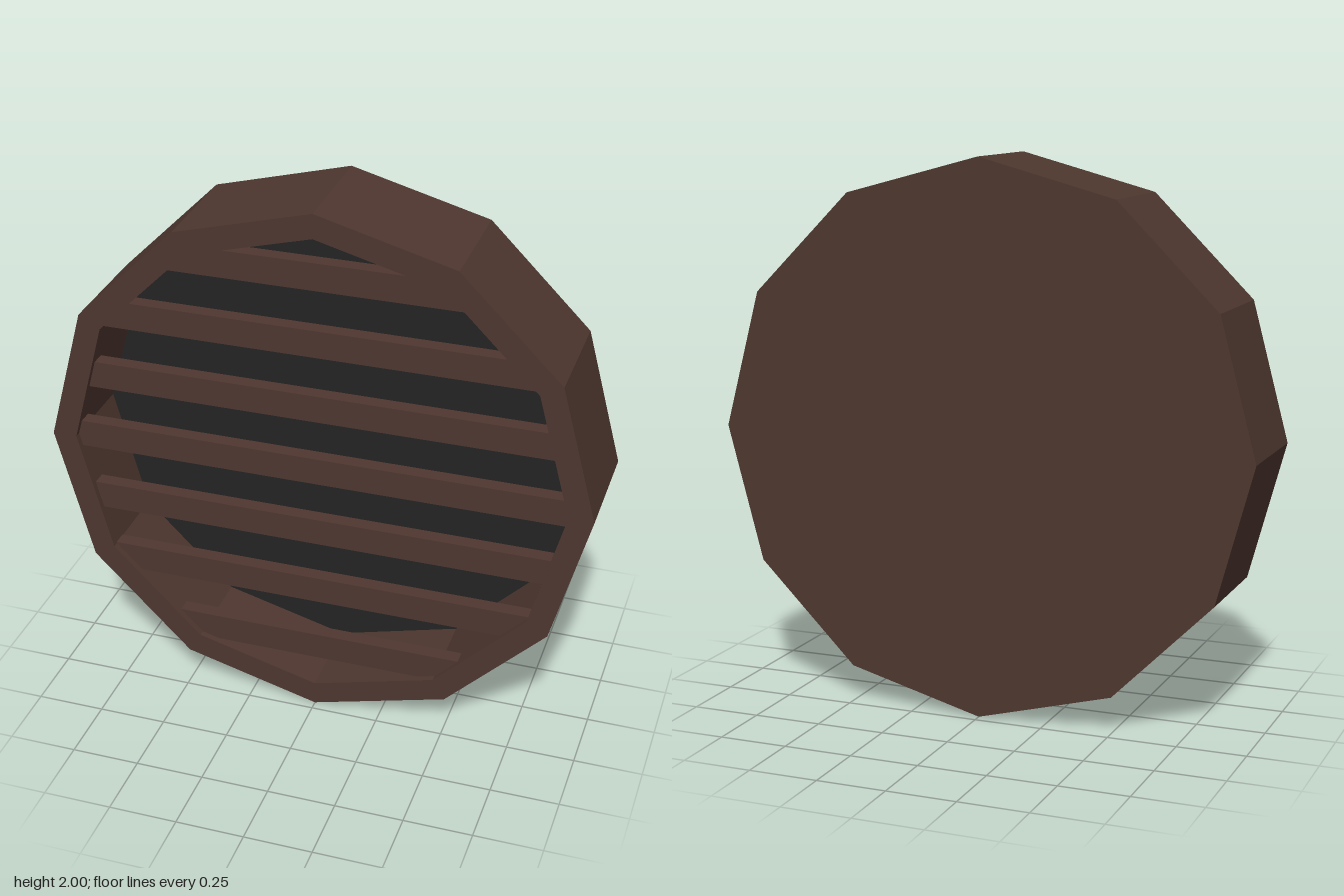
import * as THREE from 'three';

const SIDES = 12, OUTER = 1, INNER = 0.91, HALF_DEPTH = 0.215, PANEL_Z = -0.12;

// Corner points of a regular twelve-sided ring
function corners(radius) {
  return Array.from({ length: SIDES }, (_, i) => {
    const a = (i / SIDES) * Math.PI * 2;
    return new THREE.Vector2(Math.cos(a) * radius, Math.sin(a) * radius);
  });
}

// Half width of the opening at a height above its centre
function openingHalfWidth(y) {
  const pts = corners(INNER), h = Math.abs(y);
  for (let i = 0; i < SIDES / 4; i++) {
    const a = pts[i], b = pts[i + 1];
    if (h <= b.y) return THREE.MathUtils.mapLinear(h, a.y, b.y, a.x, b.x);
  }
  return 0;
}

export function createModel() {
  const brown = new THREE.MeshStandardMaterial({ color: 0x4e372f });
  brown.name = 'dark brown';
  const black = new THREE.MeshStandardMaterial({ color: 0x242424 });
  black.name = 'charcoal';

  const vent = new THREE.Group();
  vent.name = 'roundVent';
  const add = (name, geometry, material, y, z) => {
    const mesh = new THREE.Mesh(geometry, material);
    mesh.name = name;
    mesh.position.set(0, y, z);
    vent.add(mesh);
  };

  // Rim, open from the front down to the recessed panel
  const ring = new THREE.Shape(corners(OUTER));
  ring.holes.push(new THREE.Path(corners(INNER).reverse()));
  add('rim', new THREE.ExtrudeGeometry(ring, { depth: HALF_DEPTH * 2, bevelEnabled: false }),
    brown, 1, -HALF_DEPTH);

  // Solid back plate filling the rim behind the panel
  const disc = new THREE.Shape(corners(INNER));
  add('backPlate', new THREE.ExtrudeGeometry(disc, { depth: PANEL_Z + HALF_DEPTH - 0.005, bevelEnabled: false }),
    brown, 1, -HALF_DEPTH);

  // Dark panel behind the slats
  add('darkPanel', new THREE.ShapeGeometry(disc), black, 1, PANEL_Z);

  // Seven horizontal slats, their ends buried in the rim
  const slatHeight = 0.102, spacing = 0.2525;
  for (let i = -3; i <= 3; i++) {
    const y = i * spacing;
    const nearest = Math.max(0, Math.abs(y) - slatHeight / 2);
    const half = openingHalfWidth(nearest) + 0.008;
    add('slat', new THREE.BoxGeometry(half * 2, slatHeight, 0.055), brown, 1.003 + y, 0.163);
  }
  return vent;
}
